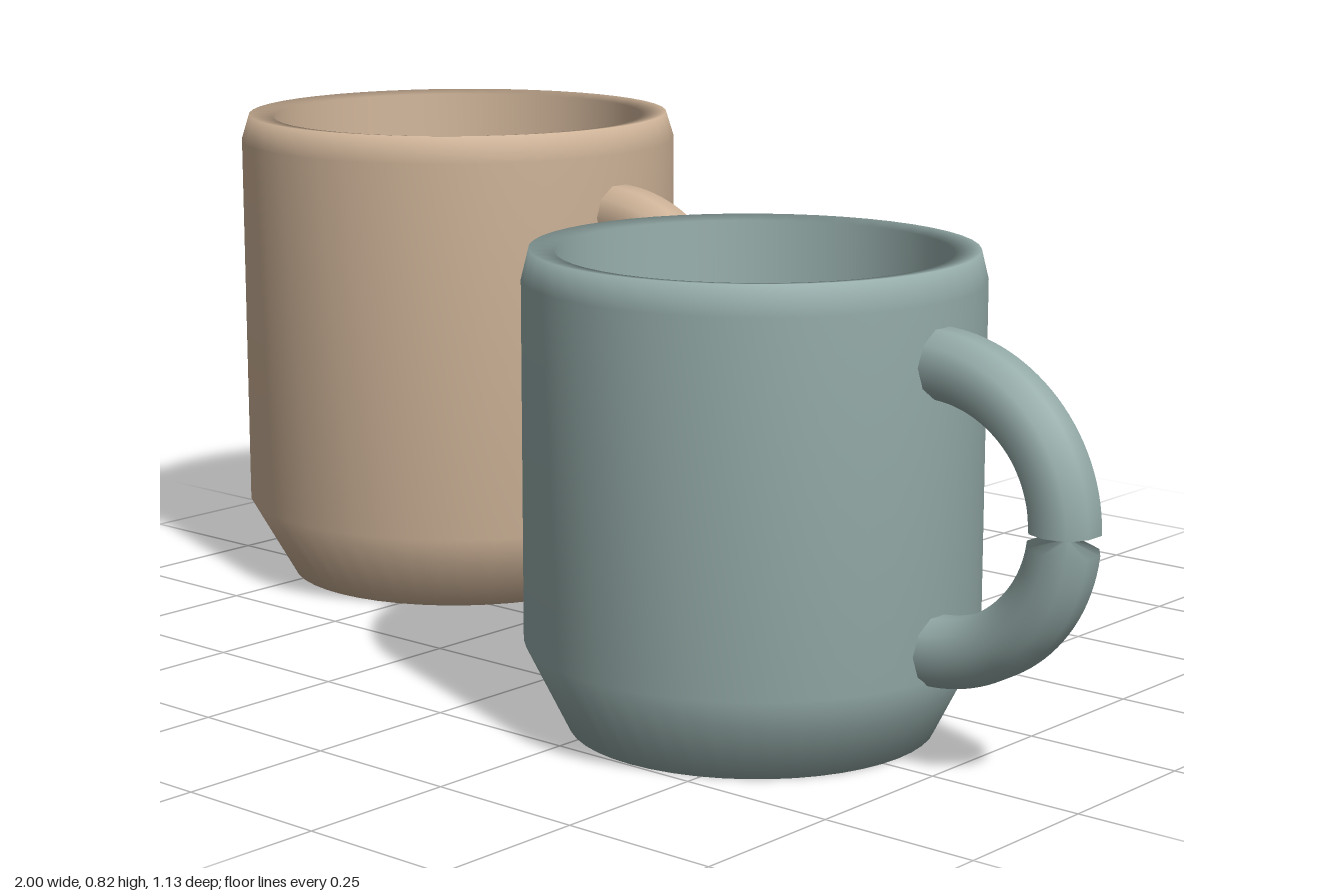
import * as THREE from 'three';

const tan = new THREE.MeshStandardMaterial({ color: 0xcdb297 });
tan.name = 'warm tan glaze';
const teal = new THREE.MeshStandardMaterial({ color: 0x94aba8 });
teal.name = 'grey teal glaze';

// Half-ellipse path for a handle, running from top to bottom
class HandleCurve extends THREE.Curve {
  constructor(x, y, rx, ry) {
    super();
    Object.assign(this, { x, y, rx, ry });
  }
  getPoint(t, target = new THREE.Vector3()) {
    const a = Math.PI * (0.5 - t);
    return target.set(this.x + this.rx * Math.cos(a), this.y + this.ry * Math.sin(a), 0);
  }
}

// Cup shell: tapered foot, straight wall, bevelled lip and hollow inside
function cupGeometry({ radius, foot, lip, inner, height }) {
  const profile = [
    [0, 0], [foot, 0], [radius, 0.135], [radius, height - 0.045],
    [lip, height], [inner, height - 0.005], [inner, 0.15], [inner - 0.05, 0.06], [0, 0.06],
  ];
  return new THREE.LatheGeometry(profile.map(([x, y]) => new THREE.Vector2(x, y)), 48);
}

// Handle tube, pinched to a narrow waist just below its middle
function handleGeometry({ radius, handleY, rx, ry }) {
  const rings = 58, sides = 10, waist = 30;
  const path = new HandleCurve(radius - 0.01, handleY, rx + 0.01, ry);
  const geometry = new THREE.TubeGeometry(path, rings, 0.053, sides, false);
  const pos = geometry.attributes.position;
  const centre = path.getPointAt(waist / rings);
  const v = new THREE.Vector3();
  for (let i = 0; i <= sides; i++) {
    const k = waist * (sides + 1) + i;
    v.fromBufferAttribute(pos, k).lerp(centre, 0.8);
    pos.setXYZ(k, v.x, v.y, v.z);
  }
  return geometry;
}

function makeMug(name, material, size) {
  const mug = new THREE.Group();
  mug.name = name;
  const cup = new THREE.Mesh(cupGeometry(size), material);
  cup.name = 'cup';
  const handle = new THREE.Mesh(handleGeometry(size), material);
  handle.name = 'handle';
  mug.add(cup, handle);
  mug.position.set(size.x, 0, size.z);
  return mug;
}

export function createModel() {
  const model = new THREE.Group();
  model.name = 'pair of mugs';
  model.add(
    makeMug('tallMug', tan, {
      x: -0.62, z: -0.183, radius: 0.381, foot: 0.305, lip: 0.367, inner: 0.325,
      height: 0.82, handleY: 0.436, rx: 0.23, ry: 0.236,
    }),
    makeMug('shortMug', teal, {
      x: 0.386, z: 0.218, radius: 0.345, foot: 0.278, lip: 0.334, inner: 0.295,
      height: 0.73, handleY: 0.388, rx: 0.213, ry: 0.211,
    }),
  );
  return model;
}
